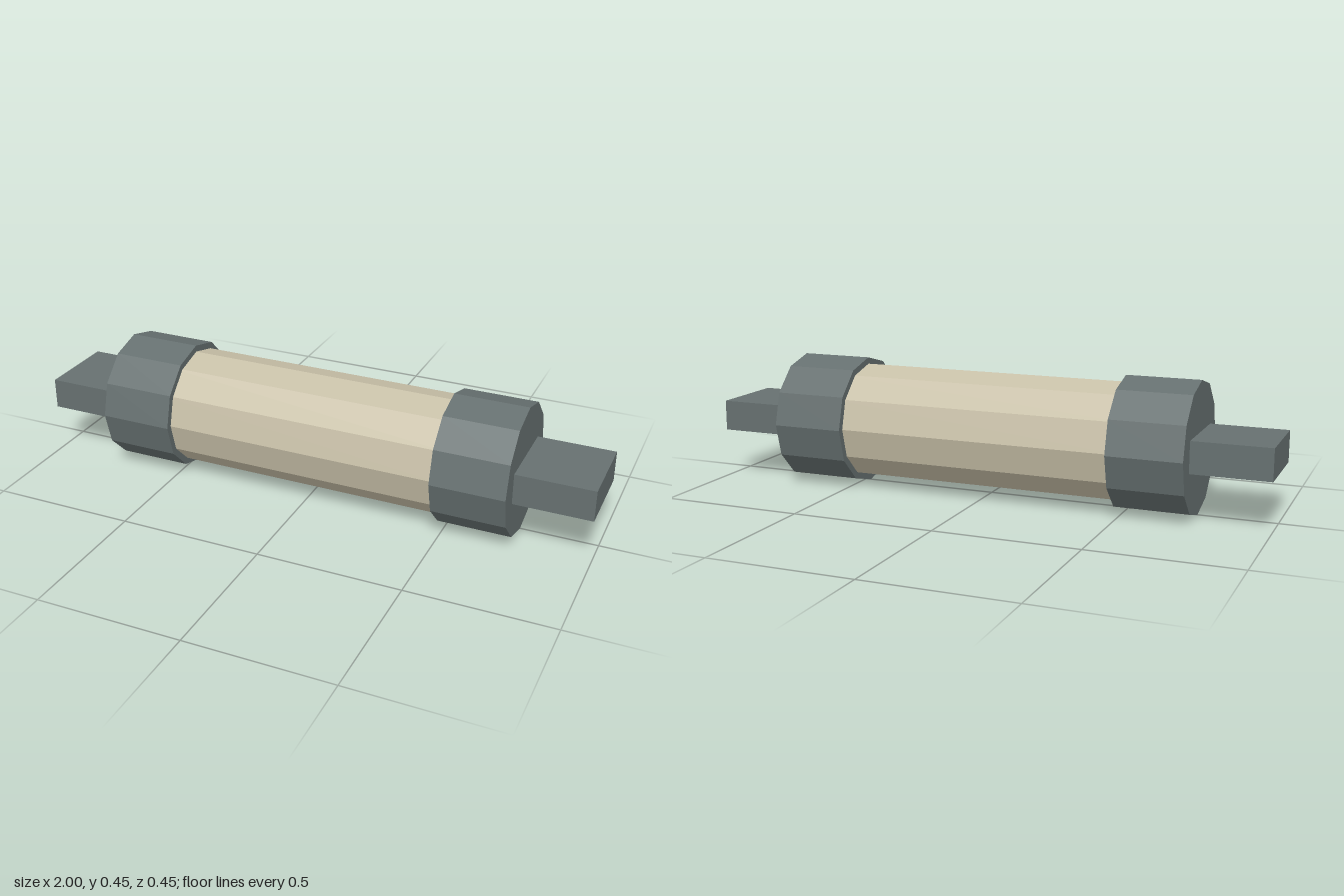
import * as THREE from 'three';

const AXIS_Y = 0.226;

export function createModel() {
  const group = new THREE.Group();
  const metal = new THREE.MeshStandardMaterial({ color: 0x667070, flatShading: true });
  const ceramic = new THREE.MeshStandardMaterial({ color: 0xc8c0a8, flatShading: true });

  const add = (name, geometry, material, x) => {
    const mesh = new THREE.Mesh(geometry, material);
    mesh.name = name;
    mesh.position.set(x, AXIS_Y, 0);
    group.add(mesh);
  };

  // Twelve-sided cylinder lying along x
  const barrel = (radius, length) =>
    new THREE.CylinderGeometry(radius, radius, length, 12).rotateZ(Math.PI / 2);

  // Central tube, seated inside both caps
  add('tubeBody', barrel(0.203, 1.1), ceramic, 0);

  // Matching end cap and flat contact blade on each side
  for (const [side, s] of [['left', 1], ['right', -1]]) {
    add(side + 'EndCap', barrel(0.226, 0.255), metal, s * 0.6075);
    add(side + 'ContactBlade', new THREE.BoxGeometry(0.275, 0.108, 0.284), metal, s * 0.8625);
  }
  return group;
}
